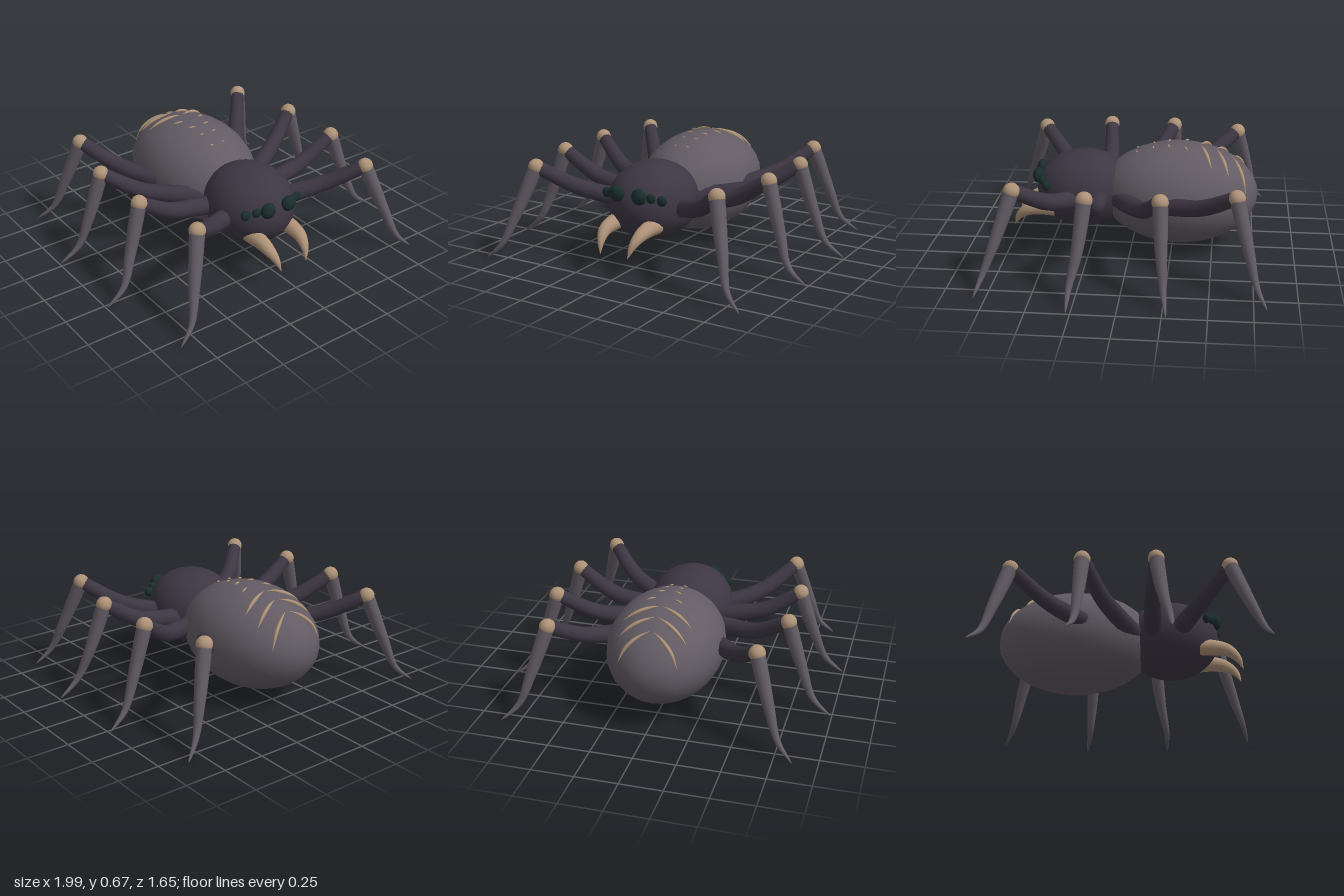
import * as THREE from 'three';

const mat = (name, color) => {
  const m = new THREE.MeshStandardMaterial({ color });
  m.name = name;
  return m;
};

export function createModel() {
  const dark = mat('dark shell', 0x3d3643);
  const grey = mat('grey shell', 0x625b64);
  const tan = mat('tan', 0xae9278);
  const eyeGreen = mat('eye green', 0x1a2e2c);

  const model = new THREE.Group();
  model.name = 'spider';

  const add = (parent, name, geometry, material) => {
    const mesh = new THREE.Mesh(geometry, material);
    mesh.name = name;
    parent.add(mesh);
    return mesh;
  };
  const ellipsoid = (parent, name, pos, radii, material, w = 24, h = 16) => {
    const mesh = add(parent, name, new THREE.SphereGeometry(1, w, h), material);
    mesh.position.set(...pos);
    mesh.scale.set(...radii);
    return mesh;
  };

  // Tube along points whose radius follows a function of 0..1
  const taperedTube = (points, radius, rings = 16, sides = 12) => {
    const curve = new THREE.CatmullRomCurve3(points.map((p) => new THREE.Vector3(...p)));
    const geo = new THREE.TubeGeometry(curve, rings, 1, sides);
    const pos = geo.attributes.position;
    const v = new THREE.Vector3();
    for (let i = 0; i <= rings; i++) {
      const centre = curve.getPointAt(i / rings);
      for (let j = 0; j <= sides; j++) {
        const k = i * (sides + 1) + j;
        v.fromBufferAttribute(pos, k).sub(centre).multiplyScalar(radius(i / rings)).add(centre);
        pos.setXYZ(k, v.x, v.y, v.z);
      }
    }
    geo.computeVertexNormals();
    // Join the shading across the tube's seam
    const nor = geo.attributes.normal;
    const w = new THREE.Vector3();
    for (let i = 0; i <= rings; i++) {
      const a = i * (sides + 1), b = a + sides;
      v.fromBufferAttribute(nor, a).add(w.fromBufferAttribute(nor, b)).normalize();
      nor.setXYZ(a, v.x, v.y, v.z);
      nor.setXYZ(b, v.x, v.y, v.z);
    }
    return geo;
  };

  // Body
  const abdomenPos = [0, 0.365, -0.29], abdomenRadii = [0.345, 0.31, 0.48];
  ellipsoid(model, 'abdomen', abdomenPos, abdomenRadii, grey);
  ellipsoid(model, 'head', [0, 0.375, 0.29], [0.26, 0.237, 0.295], dark, 32, 20);

  // Height of the abdomen's back at x, z
  const backHeight = (x, z) => abdomenPos[1] + abdomenRadii[1] *
    Math.sqrt(Math.max(0, 1 - (x / abdomenRadii[0]) ** 2 - ((z - abdomenPos[2]) / abdomenRadii[2]) ** 2));

  // Legs on the left side: femur path, then shin path
  const legs = [
    { name: 'frontLeg',
      femur: [[0.14, 0.36, 0.32], [0.27, 0.38, 0.375], [0.43, 0.435, 0.47], [0.61, 0.565, 0.625]],
      shin: [[0.61, 0.565, 0.625], [0.7, 0.28, 0.72], [0.765, 0.1, 0.785], [0.86, 0.008, 0.82]] },
    { name: 'midFrontLeg',
      femur: [[0.14, 0.36, 0.185], [0.3, 0.385, 0.18], [0.49, 0.43, 0.18], [0.71, 0.565, 0.2]],
      shin: [[0.71, 0.565, 0.2], [0.805, 0.28, 0.235], [0.88, 0.1, 0.272], [0.995, 0.008, 0.275]] },
    { name: 'midBackLeg',
      femur: [[0.16, 0.36, 0.06], [0.32, 0.385, -0.02], [0.5, 0.43, -0.115], [0.71, 0.565, -0.22]],
      shin: [[0.71, 0.565, -0.22], [0.805, 0.28, -0.235], [0.88, 0.1, -0.252], [0.995, 0.008, -0.275]] },
    { name: 'backLeg',
      femur: [[0.18, 0.36, -0.1], [0.32, 0.385, -0.27], [0.45, 0.435, -0.44], [0.61, 0.565, -0.64]],
      shin: [[0.61, 0.565, -0.64], [0.7, 0.28, -0.715], [0.765, 0.1, -0.765], [0.86, 0.008, -0.825]] },
  ];

  // Markings on the back: inner x, z then outer x, z and half width
  const marks = [
    [0.01, -0.61, 0.175, -0.695, 0.011], [0.01, -0.513, 0.195, -0.59, 0.011],
    [0.01, -0.417, 0.2, -0.487, 0.011], [0.055, -0.32, 0.11, -0.342, 0.006],
    [0.03, -0.22, 0.075, -0.23, 0.006], [0.03, -0.13, 0.06, -0.133, 0.005],
    [0.03, -0.03, 0.055, -0.033, 0.005],
  ];

  // Eyes: position and radius
  const eyes = [
    [[0.075, 0.467, 0.567], 0.048], [[0.134, 0.457, 0.534], 0.029], [[0.188, 0.442, 0.503], 0.031],
  ];

  for (const s of [1, -1]) {
    const side = s > 0 ? 'left' : 'right';
    const flip = (points) => points.map(([x, y, z]) => [s * x, y, z]);

    for (const leg of legs) {
      const group = new THREE.Group();
      group.name = `${side} ${leg.name}`;
      model.add(group);
      add(group, 'femur', taperedTube(flip(leg.femur), (t) => 0.06 - 0.019 * t), dark);
      add(group, 'shin', taperedTube(flip(leg.shin),
        (t) => (t < 1 ? 0.004 + 0.04 * (1 - t ** 1.7) : 0.0005), 20), grey);
      ellipsoid(group, 'knee', [s * leg.femur[3][0], 0.565, leg.femur[3][2]], [0.048, 0.048, 0.048], tan, 16, 12);
    }

    add(model, `${side} fang`, taperedTube(
      flip([[0.125, 0.275, 0.46], [0.122, 0.275, 0.55], [0.12, 0.257, 0.63], [0.107, 0.21, 0.69], [0.092, 0.142, 0.722]]),
      (t) => 0.0005 + 0.049 * (1 - t ** 2.2)), tan);

    eyes.forEach(([[x, y, z], r], i) =>
      ellipsoid(model, `${side} eye ${i + 1}`, [s * x, y, z], [r, r, r * 0.72], eyeGreen, 16, 12));

    marks.forEach(([x0, z0, x1, z1, r], i) => {
      const path = [0, 0.25, 0.5, 0.75, 1].map((t) => {
        const x = x0 + (x1 - x0) * t, z = z0 + (z1 - z0) * t;
        return [s * x, backHeight(x, z) + 0.004, z];
      });
      add(model, `${side} back marking ${i + 1}`,
        taperedTube(path, (t) => 0.0005 + r * Math.sin(Math.PI * t), 10, 8), tan);
    });
  }
  return model;
}
